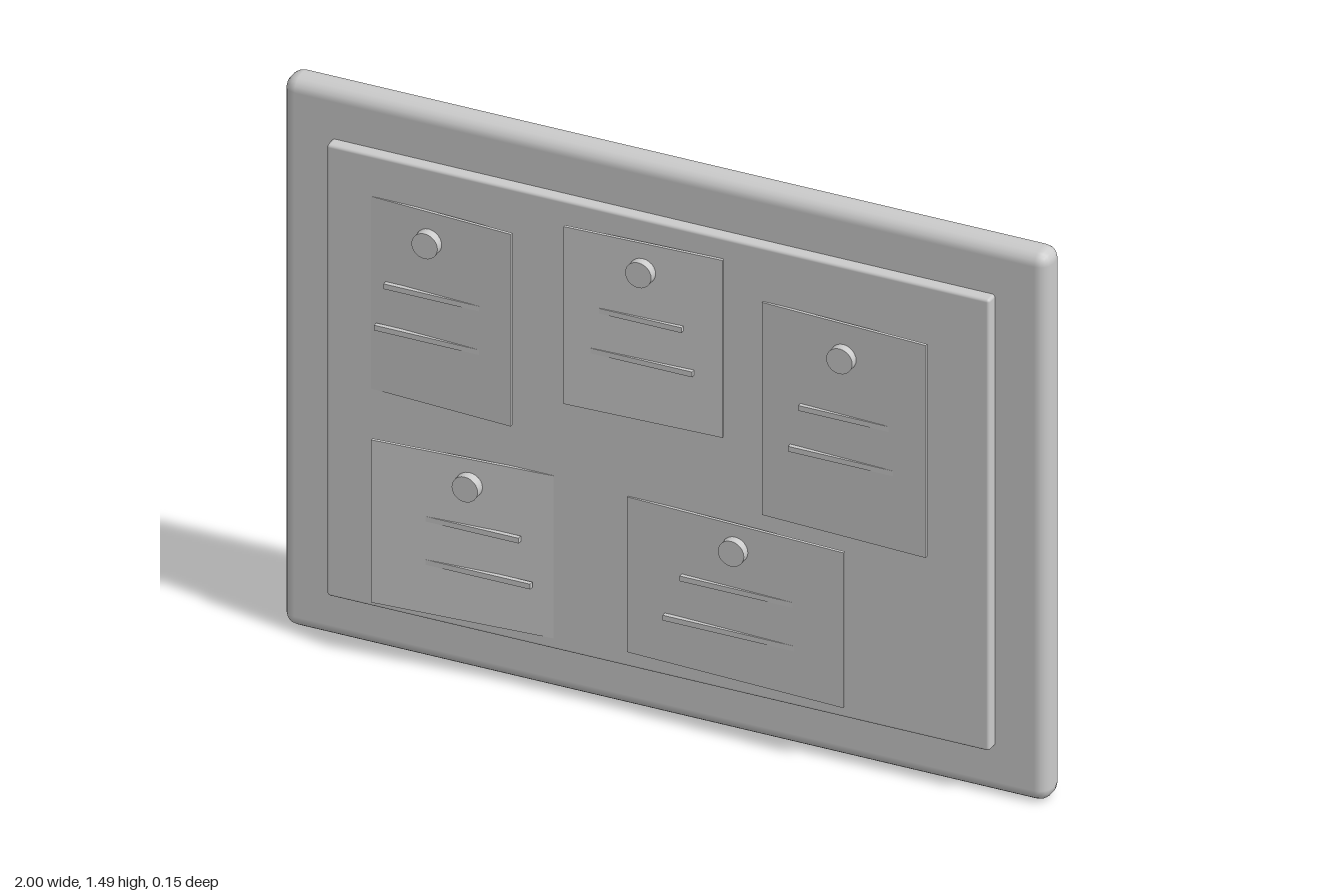
import * as THREE from 'three';
import { RoundedBoxGeometry } from 'three/addons/geometries/RoundedBoxGeometry.js';

const grey = new THREE.MeshStandardMaterial({ color: 0xcccccc });

function add(parent, name, geometry, x, y, z) {
  const mesh = new THREE.Mesh(geometry, grey);
  mesh.name = name;
  mesh.position.set(x, y, z);
  parent.add(mesh);
  return mesh;
}

// Notes: x range, y range, surface depth at left and right edge,
// pin centre, and text bars as [x start, x end, y]
const notes = [
  { x: [-0.75, -0.375], y: [0.72, 1.24], z: [0.040, 0.062], pin: [-0.595, 1.16],
    bars: [[-0.71, -0.46, 1.015], [-0.735, -0.46, 0.897]] },
  { x: [-0.237, 0.17], y: [0.815, 1.295], z: [0.062, 0.047], pin: [-0.035, 1.22],
    bars: [[-0.145, 0.07, 1.088], [-0.168, 0.098, 0.975]] },
  { x: [0.272, 0.71], y: [0.63, 1.205], z: [0.044, 0.064], pin: [0.49, 1.115],
    bars: [[0.375, 0.61, 0.952], [0.348, 0.636, 0.835]] },
  { x: [-0.737, -0.275], y: [0.16, 0.6], z: [0.070, 0.040], pin: [-0.488, 0.53],
    bars: [[-0.6, -0.355, 0.415], [-0.625, -0.325, 0.298]] },
  { x: [-0.08, 0.495], y: [0.172, 0.592], z: [0.043, 0.065], pin: [0.207, 0.525],
    bars: [[0.065, 0.36, 0.415], [0.02, 0.37, 0.298]] },
];

function makeNote({ x, y, z, pin, bars }) {
  const note = new THREE.Group();
  note.name = 'note';
  const width = x[1] - x[0], rise = z[1] - z[0];
  const thickness = 0.008, midZ = (z[0] + z[1]) / 2;

  // Sheet, turned slightly about its vertical axis
  const sheet = add(note, 'paper',
    new THREE.BoxGeometry(Math.hypot(width, rise), y[1] - y[0], thickness),
    (x[0] + x[1]) / 2, (y[0] + y[1]) / 2, midZ - thickness / 2);
  sheet.rotation.y = -Math.atan2(rise, width);

  // Raised text bars, parallel to the board
  for (const [x0, x1, barY] of bars) {
    add(note, 'textBar', new THREE.BoxGeometry(x1 - x0, 0.014, 0.012),
      (x0 + x1) / 2, barY, midZ);
  }

  // Round push pin
  const pinGeometry = new THREE.CylinderGeometry(0.034, 0.034, 0.028, 24).rotateX(Math.PI / 2);
  add(note, 'pushPin', pinGeometry, pin[0], pin[1], midZ + 0.009);
  return note;
}

export function createModel() {
  const model = new THREE.Group();
  model.name = 'noticeBoard';

  // Rounded backing frame and the raised pin panel
  add(model, 'frame', new RoundedBoxGeometry(2, 1.485, 0.084, 2, 0.034), 0, 0.7425, -0.034);
  add(model, 'pinPanel', new RoundedBoxGeometry(1.732, 1.222, 0.05, 2, 0.008), -0.002, 0.741, 0.014);

  for (const note of notes) model.add(makeNote(note));
  return model;
}
